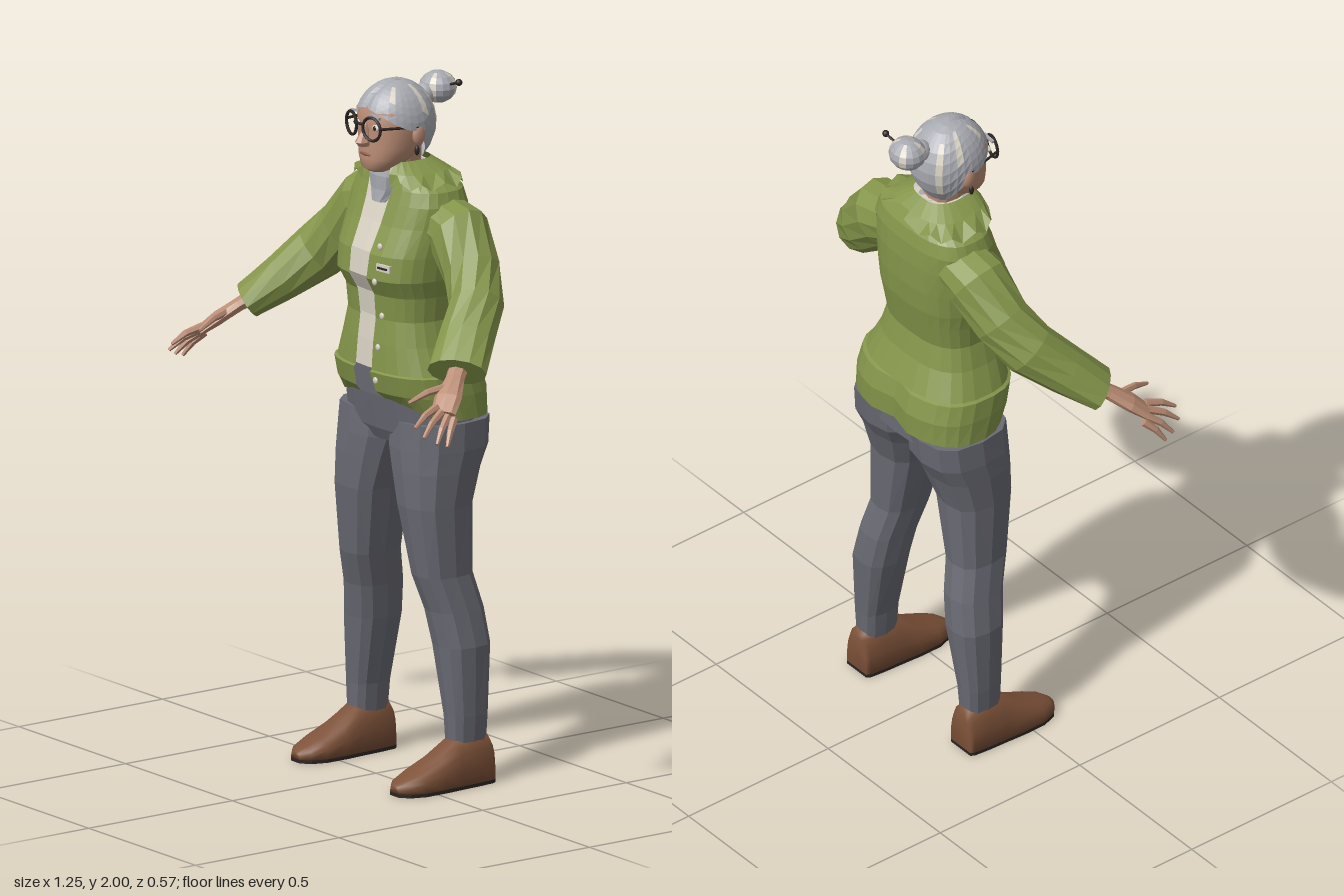
import * as THREE from 'three';
import { mergeVertices } from 'three/addons/utils/BufferGeometryUtils.js';

const V = (x, y, z) => new THREE.Vector3(x, y, z);
const paint = (name, color, side = THREE.FrontSide) =>
  Object.assign(new THREE.MeshStandardMaterial({ color, side }), { name });

// Skin a list of rings; open or closed, optional end caps, optional cell filter
function loft(rows, { closed = true, caps = closed, smooth = false, pick = () => true } = {}) {
  const n = rows[0].length, out = [];
  const tri = (...p) => p.forEach(v => out.push(v.x, v.y, v.z));
  for (let i = 0; i < rows.length - 1; i++) {
    for (let j = 0; j < (closed ? n : n - 1); j++) {
      if (!pick(i, j)) continue;
      const k = (j + 1) % n, a = rows[i], b = rows[i + 1];
      tri(a[j], a[k], b[k]);
      tri(a[j], b[k], b[j]);
    }
  }
  if (caps) [rows[0], rows.at(-1)].forEach((r, end) => {
    const c = r.reduce((s, p) => s.add(p), V(0, 0, 0)).divideScalar(n);
    r.forEach((p, j) => end ? tri(c, p, r[(j + 1) % n]) : tri(c, r[(j + 1) % n], p));
  });
  let g = new THREE.BufferGeometry();
  g.setAttribute('position', new THREE.Float32BufferAttribute(out, 3));
  if (smooth) g = mergeVertices(g, 1e-5);
  g.computeVertexNormals();
  return g;
}

// Horizontal rounded ring; t = 0 is the front
const E = 0.75;
const pow = (v, e) => Math.sign(v) * Math.abs(v) ** e;
const at = (t, [y, hw, zf, zb], xc = 0, e = E) =>
  V(xc + hw * pow(Math.sin(t), e), y, (zf + zb) / 2 + (zf - zb) / 2 * pow(Math.cos(t), e));
const ring = (row, n, xc = 0, e = E) =>
  Array.from({ length: n }, (_, j) => at(j / n * Math.PI * 2, row, xc, e));

// Tube along stations [x, y, z, sideways radius, upright radius]
function limb(st, n, smooth = false) {
  const c = st.map(s => V(s[0], s[1], s[2]));
  return loft(st.map((s, i) => {
    const d = c[Math.min(i + 1, c.length - 1)].clone().sub(c[Math.max(i - 1, 0)]).normalize();
    const u = V(d.z, 0, -d.x).normalize(), v = d.clone().cross(u);
    return Array.from({ length: n }, (_, j) => {
      const a = j / n * Math.PI * 2;
      return c[i].clone().addScaledVector(u, s[3] * Math.cos(a)).addScaledVector(v, s[4] * Math.sin(a));
    });
  }), { smooth });
}

function mirrored(src) {
  const g = src.index ? src.toNonIndexed() : src.clone();
  for (const name of Object.keys(g.attributes)) {
    const a = g.attributes[name];
    if (name === 'uv') { g.deleteAttribute('uv'); continue; }
    const old = a.array.slice();
    for (let i = 0; i < a.count; i++) {
      const s = i - i % 3 + [0, 2, 1][i % 3];
      a.setXYZ(i, -old[s * 3], old[s * 3 + 1], old[s * 3 + 2]);
    }
  }
  return g;
}

// Jacket rows: y, half width, front z, back z, half opening
const JACKET = [
  [1.05, .238, .005, -.285, .06], [1.12, .236, .035, -.288, .045], [1.178, .23, .05, -.272, .037],
  [1.182, .22, .043, -.262, .037], [1.26, .187, .037, -.228, .036], [1.33, .168, .028, -.212, .036],
  [1.4, .174, .035, -.225, .038], [1.45, .184, .064, -.235, .04], [1.52, .188, .055, -.24, .043],
  [1.6, .192, .02, -.24, .047], [1.66, .195, -.002, -.235, .05], [1.7, .18, -.015, -.225, .055],
  [1.735, .13, -.02, -.205, .06], [1.76, .08, -.025, -.18, .06]];
const gapAngle = (x, hw) => Math.asin(Math.min(1, x / hw) ** (1 / E));
function jacketSpot(x, y) {
  const i = JACKET.findIndex(r => r[0] > y), a = JACKET[i - 1], b = JACKET[i];
  const row = a.map((v, k) => v + (b[k] - v) * (y - a[0]) / (b[0] - a[0]));
  return at(gapAngle(x, row[1]), row);
}

export function createModel() {
  const model = new THREE.Group();
  model.name = 'elderlyWoman';
  const green = paint('jacketGreen', 0x84954a, THREE.DoubleSide), grey = paint('trouserGrey', 0x696a73);
  const brown = paint('shoeBrown', 0x7e5239), skin = paint('skin', 0xbb8d75);
  const silver = paint('silverHair', 0xa9abb2, THREE.DoubleSide), cream = paint('cream', 0xd8d1c3, THREE.DoubleSide);
  const dark = paint('dark', 0x2b2523), lip = paint('lip', 0x8f5a4c);
  const add = (name, g, m) => {
    const mesh = new THREE.Mesh(g, m);
    mesh.name = name;
    model.add(mesh);
    return mesh;
  };
  const pair = (name, g, m) => { add(name + 'Left', g, m); add(name + 'Right', mirrored(g), m); };
  const ball = (r, x, y, z, sx = 1, sy = 1, sz = 1) =>
    new THREE.SphereGeometry(r, 12, 8).scale(sx, sy, sz).translate(x, y, z);
  const rod = (a, b, r) => limb([[...a, r, r], [...b, r, r]], 6);

  // Shoes: domed sections from heel to toe, with dark soles
  const SHOE = [[-.212, .043, .12], [-.2, .05, .14], [-.15, .055, .148], [-.09, .058, .138], [-.03, .062, .098],
    [.04, .062, .064], [.085, .047, .045], [.108, .02, .03]];
  pair('shoe', loft(SHOE.map(([z, w, h]) => Array.from({ length: 11 }, (_, k) => {
    const a = k / 10 * Math.PI;
    return V(.232 + w * pow(Math.cos(a), .7), .01 + (h - .01) * pow(Math.sin(a), .7), z);
  })), { smooth: true }), brown);
  pair('sole', loft(SHOE.map(([z, w]) => [[1, 0], [1, .01], [-1, .01], [-1, 0]].map(([s, y]) => V(.232 + s * w, y, z)))), dark);

  // Trousers: y, inner x, outer x, front z, back z
  const LEG = [[.11, .19, .27, -.083, -.2], [.2, .182, .275, -.08, -.205], [.4, .137, .277, -.065, -.221],
    [.5, .12, .257, -.05, -.213], [.6, .1, .237, -.02, -.19], [.8, .055, .238, .005, -.197],
    [.9, .022, .241, .006, -.23], [.96, .001, .241, .005, -.262], [1.04, 0, .236, 0, -.27]];
  pair('trouserLeg', loft(LEG.map(([y, a, b, f, k]) => ring([y, (b - a) / 2, f, k], 12, (a + b) / 2))), grey);
  add('trouserSeat', loft([[.965, .17, -.02, -.22], [1, .225, -.002, -.262], [1.1, .215, .015, -.26],
    [1.22, .17, .02, -.21]].map(r => ring(r, 18))), grey);

  // Shirt under the jacket
  add('shirt', loft(JACKET.slice(3).map(([y, w, f, b]) => ring([y, w - .02, f - .012, b + .02], 20))), cream);

  // Jacket, open at the front, with a lifted front hem and a back cleft
  const open = (row, n) => {
    const t0 = gapAngle(row[4], row[1]);
    return Array.from({ length: n + 1 }, (_, j) => at(t0 + (Math.PI * 2 - 2 * t0) * j / n, row));
  };
  const jacketRows = JACKET.map((row, i) => {
    const pts = open(row, 26);
    pts.forEach(p => {
      if (i === 0) p.y += .045 * Math.max(0, (p.z + .13) / .14) ** 2;
      if (i < 3 && p.z < -.14) p.z += .022 * Math.exp(-((p.x / .035) ** 2));
    });
    return pts;
  });
  add('jacketBody', loft(jacketRows, { closed: false }), green);
  const collar = [[1.715, .175, .004, -.23, .062], [1.745, .125, .004, -.208, .06], [1.775, .074, -.012, -.165, .045]]
    .map(r => open(r, 22));
  collar[0].forEach((p, j) => { p.y += j % 2 ? .012 : -.008; });
  add('jacketCollar', loft(collar, { closed: false }), green);
  pair('sleeve', limb([[.12, 1.615, -.13, .085, .075], [.21, 1.585, -.132, .088, .098], [.295, 1.495, -.115, .082, .088],
    [.37, 1.42, -.075, .078, .082], [.43, 1.345, .005, .082, .068], [.49, 1.278, .082, .086, .052]], 12), green);

  // Buttons and plain badge on the left front
  [[.075, 1.545], [.072, 1.445], [.065, 1.34], [.06, 1.25], [.058, 1.155]].forEach(([x, y]) => {
    const p = jacketSpot(x, y);
    add('button', ball(.01, p.x, p.y, p.z + .002, 1, 1, .5), cream);
  });
  const b = jacketSpot(.105, 1.49);
  add('badge', new THREE.BoxGeometry(.056, .02, .008).rotateY(.1).translate(b.x, b.y, b.z + .005), cream);
  add('badgeStripe', new THREE.BoxGeometry(.038, .005, .004).rotateY(.1).translate(b.x, b.y, b.z + .011), dark);

  // Hands
  pair('palm', limb([[.475, 1.295, .06, .03, .026], [.505, 1.265, .1, .028, .02], [.54, 1.225, .15, .04, .02],
    [.568, 1.19, .188, .036, .013]], 8), skin);
  [[[.548, 1.207, .195], [.57, 1.165, .287]], [[.563, 1.195, .19], [.597, 1.14, .277]],
    [[.576, 1.184, .178], [.614, 1.12, .243]], [[.584, 1.176, .162], [.62, 1.11, .212]],
    [[.515, 1.25, .125], [.49, 1.215, .25]]].forEach(([p, q], i) => {
    const m = p.map((v, k) => v + (q[k] - v) * .55);
    m[1] += .008;
    pair(i < 4 ? 'finger' : 'thumb', limb([[...p, .012, .012], [...m, .01, .01], [...q, .005, .005]], 6), skin);
  });

  // Neck, neck scarf and head
  add('neck', loft([[1.68, .055, -.03, -.15], [1.75, .052, -.02, -.14], [1.82, .06, -.02, -.14]].map(r => ring(r, 12))), skin);
  add('neckScarf', loft([[1.655, .03, .004, -.06], [1.69, .058, .0, -.16], [1.73, .068, .002, -.165],
    [1.76, .06, -.004, -.155]].map(r => ring(r, 12))), silver);
  add('head', loft([[1.745, .03, .02, -.04], [1.757, .052, .036, -.07], [1.785, .075, .038, -.11], [1.82, .089, .037, -.14],
    [1.87, .096, .034, -.15], [1.92, .096, .04, -.15], [1.96, .06, .01, -.11]].map(r => ring(r, 20, 0, .9)), { smooth: true }), skin);
  add('nose', loft([[1.822, .017, .06, .02], [1.834, .02, .07, .02], [1.86, .011, .053, .02], [1.89, .008, .04, .02]]
    .map(r => ring(r, 8, 0, 1))), skin);
  add('mouth', ball(.025, 0, 1.797, .037, 1, .18, .2), lip);
  pair('ear', ball(.03, .1, 1.855, -.075, .4, 1, .7), skin);
  pair('earring', ball(.009, .101, 1.812, -.068, .8, 1.6, .8), dark);
  pair('eye', ball(.016, .045, 1.88, .033, 1, .6, .4), cream);
  pair('pupil', ball(.007, .045, 1.88, .038, 1, 1, .4), dark);
  pair('eyebrow', new THREE.BoxGeometry(.04, .007, .008).rotateZ(-.15).translate(.047, 1.914, .037), silver);

  // Round spectacles
  pair('spectacleRim', new THREE.TorusGeometry(.033, .0045, 6, 20).rotateY(.2).translate(.047, 1.88, .05), dark);
  pair('spectacleArm', rod([.08, 1.885, .045], [.104, 1.88, -.07], .004), dark);
  add('spectacleBridge', rod([-.015, 1.888, .056], [.015, 1.888, .056], .004), dark);

  // Hair cap: sweeping hairline, centre parting and pale streaks
  const N = 32, R = 9;
  const hairRows = Array.from({ length: R + 1 }, (_, i) => Array.from({ length: N }, (_, j) => {
    const t = j / N * Math.PI * 2, c = Math.cos(t);
    const low = c > 0 ? 1.868 + .062 * c ** 1.5 : 1.868 - .098 * Math.min(1, -c * 1.5);
    const y = low + (2 - low) * Math.sin(i / R * Math.PI / 2);
    const r = y > 1.875 ? Math.sqrt(Math.max(1e-6, 1 - ((y - 1.875) / .125) ** 2)) : 1 - .35 * ((1.875 - y) / .1) ** 2;
    const p = at(t, [y, .107 * r, -.068 + .117 * r, -.068 - .117 * r], 0, .95);
    if (j === 0) p.z -= .006;
    if (i > 3) p.y -= .006 * Math.exp(-((p.x / .012) ** 2)) * (c > -.5 ? 1 : 0);
    return p;
  }));
  const streak = (i, j) => {
    const k = Math.min(j, N - 1 - j);
    return (k === 4 && i > 2 && i < 6) || (k === 9 && i > 2 && i < 7) || (k === 12 && i > 0 && i < 6);
  };
  add('hair', loft(hairRows, { caps: false, pick: (i, j) => !streak(i, j) }), silver);
  add('hairStreaks', loft(hairRows, { caps: false, pick: streak }), cream);

  // Striped bun with a hairpin
  const bunRows = Array.from({ length: 9 }, (_, i) => {
    const a = i / 8 * Math.PI, r = Math.max(.001, Math.sin(a));
    return ring([1.953 - .046 * Math.cos(a), .056 * r, -.216 + .052 * r, -.216 - .052 * r], 16, 0, 1);
  });
  const bunStripe = (i, j) => j % 4 === 1 && i > 0 && i < 7;
  add('bun', loft(bunRows, { caps: false, pick: (i, j) => !bunStripe(i, j) }), silver);
  add('bunStripes', loft(bunRows, { caps: false, pick: bunStripe }), cream);
  add('bunBase', ball(.032, 0, 1.94, -.17), silver);
  add('hairpin', rod([-.02, 1.945, -.21], [.08, 1.978, -.228], .004), dark);
  add('hairpinBead', ball(.01, .082, 1.979, -.228), dark);
  return model;
}
